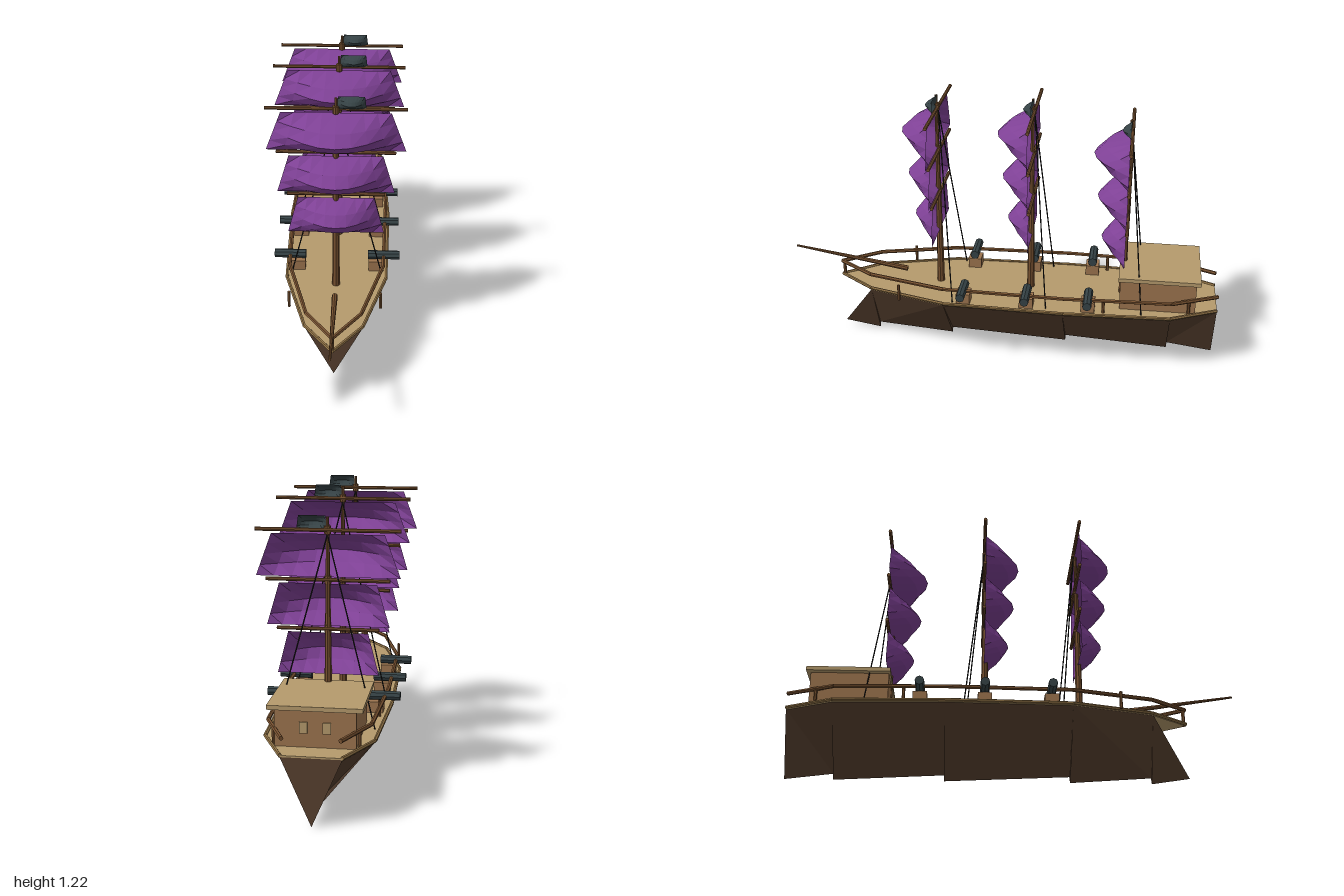
import * as THREE from 'three';

const mat = (color, side = THREE.FrontSide) =>
  new THREE.MeshStandardMaterial({ color, side, flatShading: true });
const M = {
  hull: mat(0x57402f), wood: mat(0x76502f), cabin: mat(0x9c744e), tan: mat(0xb59a6c),
  trim: mat(0x8f7145), iron: mat(0x364346), rope: mat(0x1f1f1f),
  sail: mat(0x7f4196, THREE.DoubleSide), flag: mat(0x364346, THREE.DoubleSide),
};
const V = (x, y, z) => new THREE.Vector3(x, y, z);

function add(parent, name, geometry, material, x = 0, y = 0, z = 0) {
  const mesh = new THREE.Mesh(geometry, material);
  mesh.name = name;
  mesh.position.set(x, y, z);
  parent.add(mesh);
  return mesh;
}

// Round spar between two points
function beam(parent, name, a, b, rA, rB, material, sides = 8) {
  const d = b.clone().sub(a);
  const mesh = add(parent, name, new THREE.CylinderGeometry(rB, rA, d.length(), sides), material);
  mesh.position.copy(a).addScaledVector(d, 0.5);
  mesh.quaternion.setFromUnitVectors(V(0, 1, 0), d.normalize());
  return mesh;
}

// Cloth hanging from y = 0, widening downwards and bellying towards +z
function cloth(topHalf, bottomHalf, height, belly) {
  const geo = new THREE.PlaneGeometry(1, 1, 8, 4);
  const p = geo.attributes.position;
  for (let i = 0; i < p.count; i++) {
    const u = p.getX(i) * 2, v = 0.5 - p.getY(i);
    const half = topHalf + (bottomHalf - topHalf) * v;
    p.setXYZ(i, u * half, -v * height, belly * Math.sin(Math.PI * v) * Math.cos(u * Math.PI / 2));
  }
  geo.computeVertexNormals();
  return geo;
}

// Deck outline from bow to stern: [z, half width]
const STATIONS = [[0.78, 0], [0.61, 0.125], [0.25, 0.225], [-0.3, 0.24], [-0.78, 0.22], [-0.99, 0.12]];
const DECK = 0.285;

// V-shaped hull made of wedge sections with a stepped keel
function hullGeometry() {
  const pts = [];
  const tri = (...v) => v.forEach((p) => pts.push(p.x, p.y, p.z));
  for (let i = 0; i < STATIONS.length - 1; i++) {
    const [za, wa] = STATIONS[i], [zb, wb] = STATIONS[i + 1];
    const ka = V(0, 0.027, za), kb = V(0, 0, zb);
    const la = V(wa, 0.278, za), ra = V(-wa, 0.278, za);
    const lb = V(wb, 0.278, zb), rb = V(-wb, 0.278, zb);
    tri(ka, kb, lb);
    tri(ka, rb, kb);
    if (wa > 0) {
      tri(ka, lb, la);
      tri(ka, ra, rb);
      tri(ka, la, ra);
    }
    tri(kb, rb, lb);
  }
  const geo = new THREE.BufferGeometry();
  geo.setAttribute('position', new THREE.Float32BufferAttribute(pts, 3));
  geo.computeVertexNormals();
  return geo;
}

function buildHull(ship) {
  add(ship, 'hull', hullGeometry(), M.hull);

  const outline = [
    ...STATIONS.map(([z, w]) => new THREE.Vector2(w, z)),
    ...STATIONS.slice(1).reverse().map(([z, w]) => new THREE.Vector2(-w, z)),
  ];
  const deck = new THREE.ExtrudeGeometry(new THREE.Shape(outline), { depth: 0.01, bevelEnabled: false });
  deck.rotateX(Math.PI / 2);
  add(ship, 'deck', deck, M.tan, 0, DECK, 0);

  // Edge trim, handrail and posts on both sides
  for (const s of [-1, 1]) {
    for (let i = 0; i < STATIONS.length - 1; i++) {
      const [za, wa] = STATIONS[i], [zb, wb] = STATIONS[i + 1];
      beam(ship, 'deckTrim', V(s * wa, DECK, za), V(s * wb, DECK, zb), 0.008, 0.008, M.trim, 6);
      beam(ship, 'handrail', V(s * wa * 0.94, 0.353, za), V(s * wb * 0.94, 0.353, zb), 0.009, 0.009, M.wood, 6);
    }
    for (const [x, z] of [[0.2, 0.46], [0.205, -0.48], [0.17, -0.86]])
      beam(ship, 'railPost', V(s * x, 0.275, z), V(s * x, 0.353, z), 0.007, 0.007, M.wood, 6);
  }
  beam(ship, 'bowPost', V(0, 0.275, 0.77), V(0, 0.36, 0.77), 0.008, 0.008, M.wood, 6);
  beam(ship, 'bowsprit', V(0, 0.335, 0.46), V(0, 0.42, 1), 0.013, 0.005, M.wood);
}

function buildCabin(ship) {
  const cabin = new THREE.Group();
  cabin.name = 'cabin';
  add(cabin, 'cabinWalls', new THREE.BoxGeometry(0.32, 0.16, 0.34), M.cabin, 0, 0.36, -0.72);
  add(cabin, 'cabinRoof', new THREE.BoxGeometry(0.375, 0.018, 0.365), M.tan, 0, 0.445, -0.725);
  for (const s of [-1, 1])
    add(cabin, 'cabinWindow', new THREE.BoxGeometry(0.032, 0.045, 0.01), M.tan, s * 0.046, 0.365, -0.89);
  ship.add(cabin);
}

function buildMast(ship, z, drop) {
  const mast = new THREE.Group();
  mast.name = 'mast';
  mast.position.set(0, -drop, z);
  beam(mast, 'mastPole', V(0, 0.27 + drop, 0), V(0, 1.21, 0), 0.018, 0.006, M.wood);

  // Yards with their sails, from the top: [yard y, yard half, sail top half, sail bottom half, belly]
  const rig = [
    [1.157, 0.295, 0.23, 0.295, 0.16],
    [0.955, 0.253, 0.2, 0.252, 0.137],
    [0.752, 0.21, 0.165, 0.21, 0.112],
  ];
  for (const [y, half, top, bottom, belly] of rig) {
    beam(mast, 'yard', V(-half, y, -0.008), V(half, y, -0.008), 0.008, 0.008, M.wood);
    add(mast, 'yardBand', new THREE.CylinderGeometry(0.014, 0.014, 0.032, 8), M.wood, 0, y, 0);
    add(mast, 'sail', cloth(top, bottom, 0.175, belly), M.sail, 0, y - 0.016, -0.004);
  }
  add(mast, 'flag', cloth(0.055, 0.063, 0.057, 0.04), M.flag, 0.064, 1.215, -0.003);

  // Stay ropes running aft to each side
  for (const s of [-1, 1])
    beam(mast, 'stayRope', V(0, 1.14, -0.008), V(s * 0.205, DECK + drop, -0.09), 0.003, 0.003, M.rope, 5);
  ship.add(mast);
}

function buildCannon(ship, side, z) {
  const cannon = new THREE.Group();
  cannon.name = 'cannon';
  cannon.position.set(side * 0.18, 0, z);
  add(cannon, 'carriage', new THREE.BoxGeometry(0.07, 0.05, 0.062), M.cabin, 0, 0.308, 0);
  beam(cannon, 'barrel', V(-side * 0.038, 0.354, 0), V(side * 0.106, 0.354, 0), 0.021, 0.02, M.iron);
  ship.add(cannon);
}

export function createModel() {
  const ship = new THREE.Group();
  ship.name = 'sailingShip';
  buildHull(ship);
  buildCabin(ship);
  for (const [z, drop] of [[0.3, 0], [-0.13, 0], [-0.56, 0.075]]) buildMast(ship, z, drop);
  for (const z of [0.16, -0.13, -0.41]) for (const s of [-1, 1]) buildCannon(ship, s, z);
  return ship;
}
